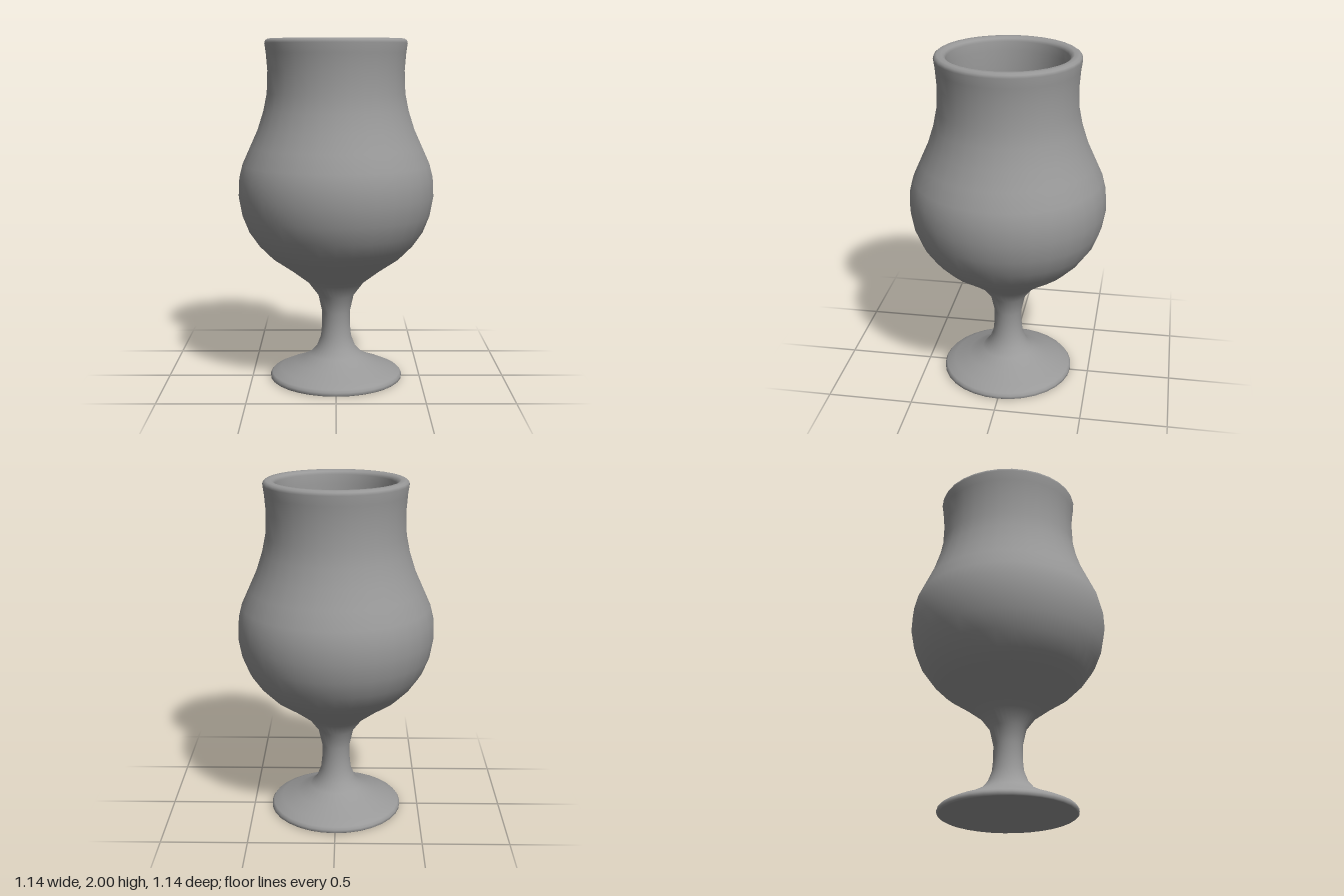
import * as THREE from 'three';

const SIDES = 32;

export function createModel() {
  const group = new THREE.Group();
  group.name = 'stemmedGlass';

  const grey = new THREE.MeshStandardMaterial({ color: 0x999999 });
  grey.name = 'plain grey';

  // Turn a profile of [radius, height] pairs into a named mesh
  const turn = (name, profile) => {
    const points = profile.map(([r, y]) => new THREE.Vector2(r, y));
    const mesh = new THREE.Mesh(new THREE.LatheGeometry(points, SIDES), grey);
    mesh.name = name;
    group.add(mesh);
  };

  // Flat underside of the foot
  turn('footUnderside', [[0, 0], [0.383, 0]]);

  // Outside of foot, stem and bowl, over the rounded rim, then down the inside
  turn('glassBody', [
    // foot
    [0.383, 0], [0.391, 0.006], [0.391, 0.022], [0.38, 0.036], [0.33, 0.06], [0.24, 0.095],
    [0.155, 0.14], [0.115, 0.185],
    // stem
    [0.09, 0.25], [0.083, 0.32], [0.083, 0.4], [0.105, 0.5],
    // bowl
    [0.165, 0.58], [0.27, 0.66], [0.38, 0.735], [0.45, 0.805], [0.51, 0.89], [0.55, 0.99],
    [0.57, 1.1], [0.565, 1.2], [0.545, 1.28], [0.5, 1.38], [0.455, 1.48], [0.42, 1.59],
    // neck
    [0.4, 1.69], [0.395, 1.82], [0.403, 1.92],
    // rim
    [0.411, 1.975], [0.406, 1.991], [0.393, 2], [0.365, 2], [0.35, 1.991], [0.342, 1.975],
    // inside
    [0.34, 1.92], [0.335, 1.82], [0.34, 1.69], [0.36, 1.59], [0.395, 1.48], [0.44, 1.38],
    [0.485, 1.28], [0.505, 1.2], [0.51, 1.1], [0.49, 0.99], [0.45, 0.9], [0.395, 0.835],
    [0.32, 0.775], [0.2, 0.71], [0.09, 0.665], [0, 0.64],
  ]);

  return group;
}
